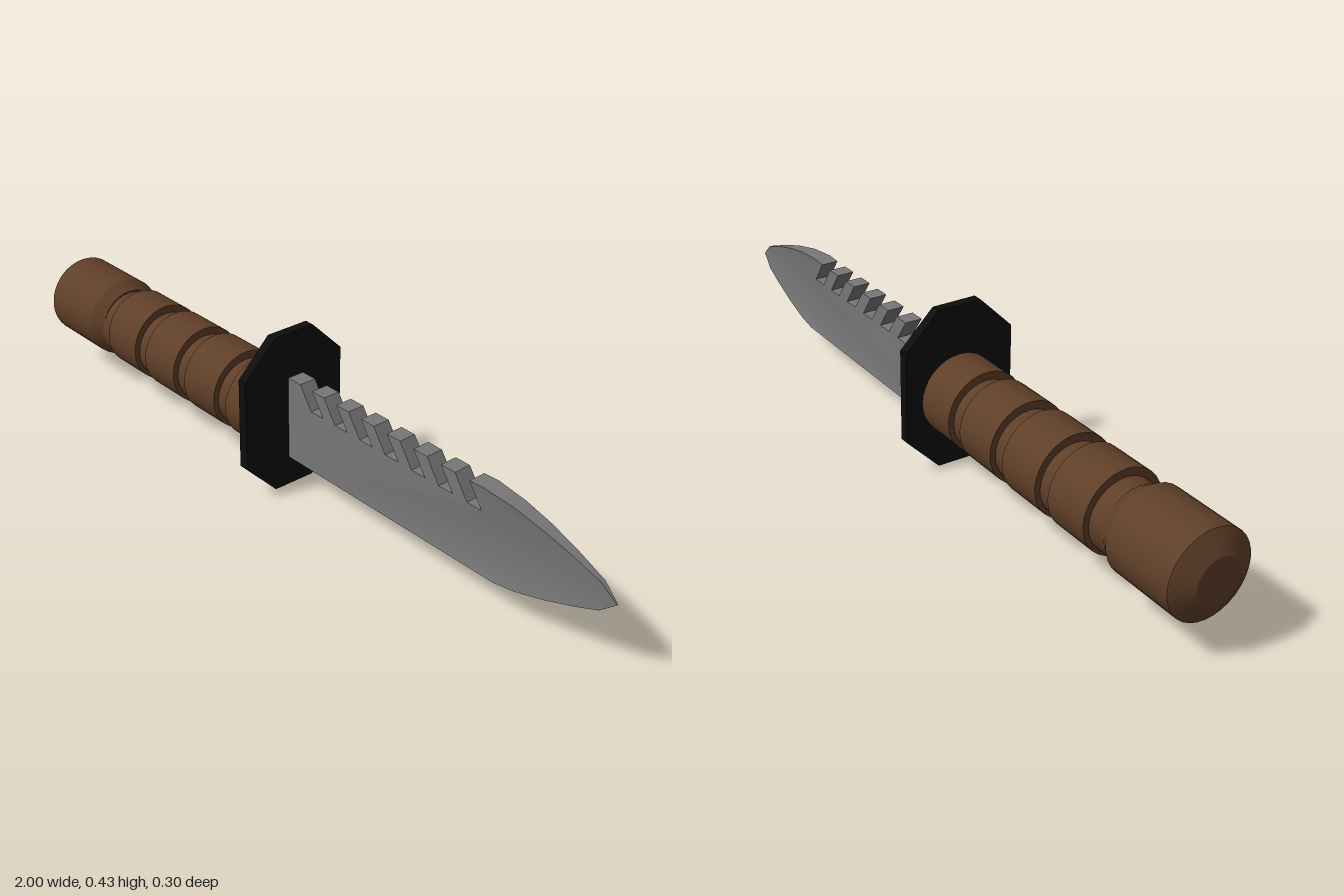
import * as THREE from 'three';
import { toCreasedNormals } from 'three/addons/utils/BufferGeometryUtils.js';

const brown = new THREE.MeshStandardMaterial({ color: 0x5f3f28 });
const black = new THREE.MeshStandardMaterial({ color: 0x0d0d0d });
const steel = new THREE.MeshStandardMaterial({ color: 0x777777 });

function addMesh(group, name, geometry, material) {
  const mesh = new THREE.Mesh(toCreasedNormals(geometry, 0.5), material);
  mesh.name = name;
  group.add(mesh);
  return mesh;
}

// Solid of revolution along x; profile is [x, radius] from left to right
function turned(profile, y) {
  const g = new THREE.LatheGeometry(profile.map(([x, r]) => new THREE.Vector2(r, x)), 32);
  return g.rotateZ(-Math.PI / 2).translate(0, y, 0);
}

function makeHandle() {
  const handle = new THREE.Group();
  handle.name = 'handle';
  addMesh(handle, 'pommel', turned(
    [[-1, 0], [-1, 0.06], [-0.97, 0.111], [-0.775, 0.111], [-0.74, 0.09], [-0.74, 0]], 0.19), brown);
  addMesh(handle, 'gripCore', turned(
    [[-0.76, 0], [-0.76, 0.092], [-0.04, 0.092], [-0.04, 0]], 0.184), brown);
  // Four raised grip rings
  for (let i = 0; i < 4; i++) {
    const a = -0.693 + i * 0.175;
    const b = a + 0.127;
    addMesh(handle, 'gripRing', turned([[a, 0], [a, 0.107], [b, 0.107], [b, 0]], 0.19), brown);
  }
  return handle;
}

// Octagonal plate across the knife
function makeGuard(group) {
  const w = 0.152, c = 0.06;
  const outline = [[-c, 0], [c, 0], [w, 0.094], [w, 0.336], [c, 0.428], [-c, 0.428], [-w, 0.336], [-w, 0.094]];
  const shape = new THREE.Shape(outline.map(([z, y]) => new THREE.Vector2(z, y)));
  const g = new THREE.ExtrudeGeometry(shape, { depth: 0.026, bevelEnabled: false });
  addMesh(group, 'guard', g.rotateY(Math.PI / 2).translate(-0.051, 0, 0), black);
}

// Fraction of full blade thickness at x
function taper(x) {
  const keys = [[0.64, 1], [0.8, 0.7], [0.96, 0.25], [1, 0.06]];
  if (x <= keys[0][0]) return 1;
  for (let i = 1; i < keys.length; i++) {
    const [x0, t0] = keys[i - 1], [x1, t1] = keys[i];
    if (x <= x1) return THREE.MathUtils.mapLinear(x, x0, x1, t0, t1);
  }
  return 0.06;
}

function makeBlade(group) {
  // Cutting edge, point and spine, counterclockwise
  const outline = [
    [-0.04, 0.08], [0.68, 0.08], [0.74, 0.088], [0.82, 0.109], [0.9, 0.135], [0.96, 0.158],
    [1, 0.192],
    [0.958, 0.228], [0.88, 0.257], [0.8, 0.281], [0.72, 0.299], [0.635, 0.308],
  ];
  // Slanted saw notches, from the point back to the guard
  for (let i = 6; i >= 0; i--) {
    const x = 0.02 + i * 0.088;
    outline.push([x + 0.044, 0.306], [x + 0.085, 0.248], [x + 0.041, 0.248], [x, 0.306]);
  }
  outline.push([-0.04, 0.306]);

  const shape = new THREE.Shape(outline.map(([x, y]) => new THREE.Vector2(x, y)));
  const depth = 0.047;
  const g = new THREE.ExtrudeGeometry(shape, { depth, bevelEnabled: false });
  g.translate(0, 0, -depth / 2);
  // Thin the blade towards its point
  const p = g.attributes.position;
  for (let i = 0; i < p.count; i++) p.setZ(i, p.getZ(i) * taper(p.getX(i)) - 0.006);
  g.computeVertexNormals();
  addMesh(group, 'blade', g, steel);
}

export function createModel() {
  const model = new THREE.Group();
  model.name = 'knife';
  model.add(makeHandle());
  makeGuard(model);
  makeBlade(model);
  return model;
}
